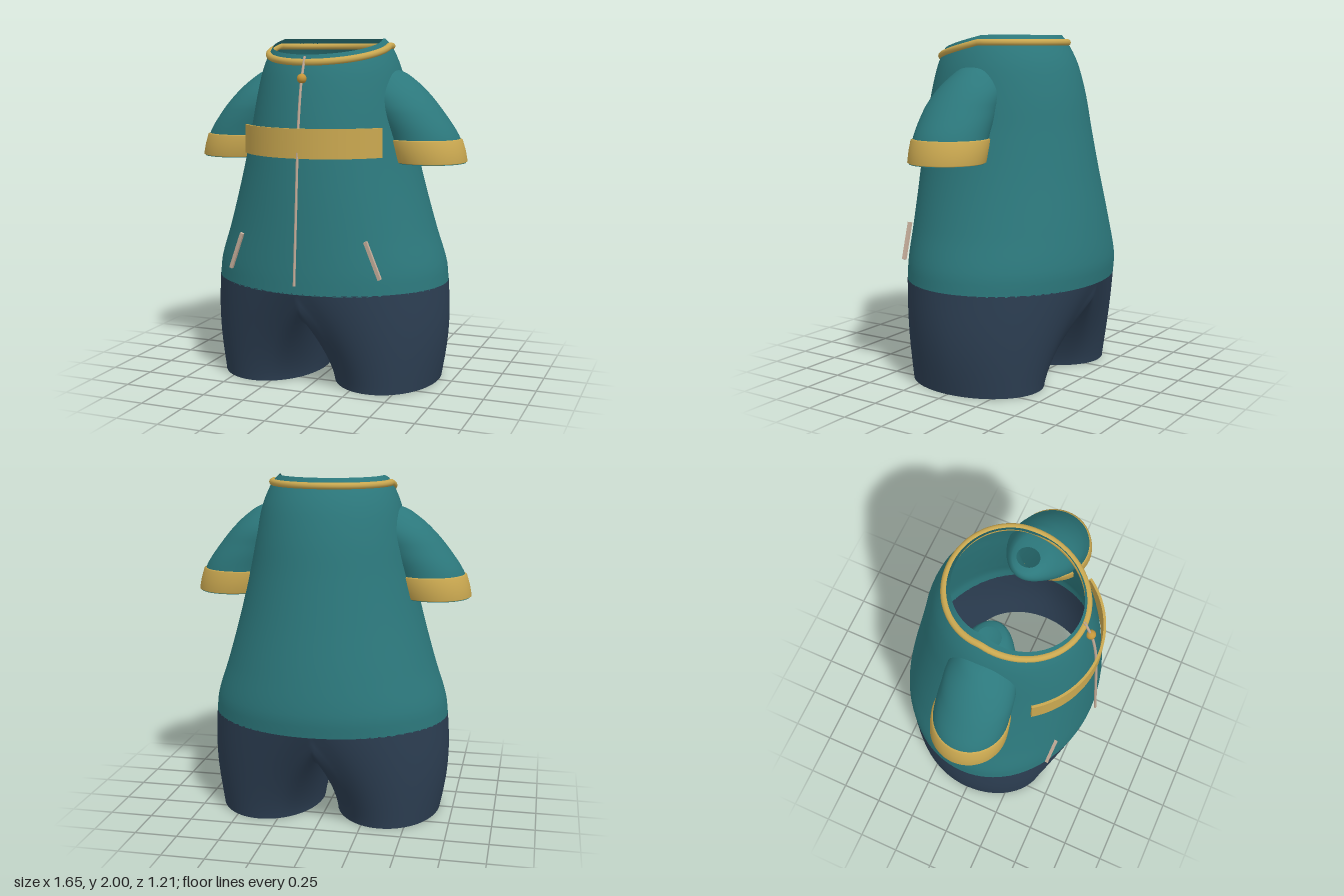
import * as THREE from 'three';
import { mergeGeometries, mergeVertices } from 'three/addons/utils/BufferGeometryUtils.js';

const mat = (name, color) => {
  const m = new THREE.MeshStandardMaterial({ color, side: THREE.DoubleSide });
  m.name = name;
  return m;
};
const lerp = THREE.MathUtils.lerp;

// Surface from point(u, v): closed around u, open along v
function loft(point, nu, nv) {
  const pos = [], idx = [];
  for (let j = 0; j <= nv; j++)
    for (let i = 0; i < nu; i++) pos.push(...point((i / nu) * Math.PI * 2, j / nv));
  for (let j = 0; j < nv; j++)
    for (let i = 0; i < nu; i++) {
      const k = (i + 1) % nu, a = j * nu + i, b = j * nu + k;
      idx.push(a, a + nu, b, b, a + nu, b + nu);
    }
  const g = new THREE.BufferGeometry();
  g.setAttribute('position', new THREE.Float32BufferAttribute(pos, 3));
  g.setIndex(idx);
  g.computeVertexNormals();
  return g;
}

// Smooth lookup through rows [key, value, value, ...]
function sample(rows, x, col) {
  let i = 0;
  while (i < rows.length - 2 && x > rows[i + 1][0]) i++;
  const n = rows.length, h = rows[i + 1][0] - rows[i][0];
  const t = THREE.MathUtils.clamp((x - rows[i][0]) / h, 0, 1);
  const slope = (k) => {
    const a = rows[Math.max(0, k - 1)], b = rows[Math.min(n - 1, k + 1)];
    return (b[col] - a[col]) / (b[0] - a[0]);
  };
  const p = rows[i][col], q = rows[i + 1][col];
  return p * (2 * t ** 3 - 3 * t * t + 1) + q * (3 * t * t - 2 * t ** 3)
    + h * (slope(i) * (t ** 3 - 2 * t * t + t) + slope(i + 1) * (t ** 3 - t * t));
}

// Jacket profile: y, half width, front depth, back depth
const BODY = [
  [0.585, 0.705, 0.575, 0.59], [0.7, 0.69, 0.573, 0.6], [0.9, 0.625, 0.563, 0.575],
  [1.2, 0.54, 0.545, 0.52], [1.45, 0.482, 0.523, 0.475], [1.65, 0.445, 0.49, 0.44],
  [1.8, 0.412, 0.455, 0.4], [1.88, 0.385, 0.425, 0.368], [1.96, 0.345, 0.38, 0.322],
  [2.0, 0.308, 0.35, 0.292],
];
const bodyPoint = (a, y) => {
  const s = Math.sin(a);
  return [Math.cos(a) * sample(BODY, y, 1), y, s * sample(BODY, y, s > 0 ? 2 : 3)];
};
const neckY = (a) => 1.96 - 0.09 * Math.max(0, Math.sin(a));

// Sleeve profile: y, inner x, outer x, half depth
const SLEEVE = [
  [1.3, 0.4, 0.815, 0.208], [1.44, 0.35, 0.778, 0.208], [1.56, 0.28, 0.7, 0.206],
  [1.68, 0.2, 0.6, 0.19], [1.77, 0.145, 0.5, 0.145], [1.82, 0.15, 0.41, 0.1],
  [1.832, 0.19, 0.31, 0.065],
];
const sleevePoint = (a, y, out = 0) => {
  const xi = sample(SLEEVE, y, 1), xo = sample(SLEEVE, y, 2), rz = sample(SLEEVE, y, 3);
  return [(xi + xo) / 2 + Math.cos(a) * ((xo - xi) / 2 + out), y,
    0.035 * Math.min(1, (1.9 - y) / 0.3) + Math.sin(a) * (rz + out)];
};

// One trouser leg: an oval cuff that blends into half the waist and the crotch seam
const SEAM_START = Math.PI * 0.625;
const seam = new THREE.CatmullRomCurve3([
  [0.59, 0.575], [0.47, 0.54], [0.385, 0.42], [0.3, 0.2], [0.245, 0],
  [0.3, -0.2], [0.385, -0.42], [0.47, -0.55], [0.59, -0.59],
].map(([y, z]) => new THREE.Vector3(0, y, z)));
function legPoint(side, u, s) {
  const a = (u > Math.PI ? u - Math.PI * 2 : u) * side, abs = Math.abs(a), sg = Math.sign(a) || 1;
  let top;
  if (abs <= SEAM_START + 1e-6) {
    const t = (a / SEAM_START) * Math.PI / 2;
    top = [0.705 * Math.cos(t), 0.59, Math.sin(t) * (t > 0 ? 0.575 : 0.59)];
  } else {
    const q = (abs - SEAM_START) / (Math.PI - SEAM_START) / 2;
    top = seam.getPoint(sg > 0 ? q : 1 - q).toArray();
  }
  const ease = s ** (1 + Math.abs(Math.sin(a)));
  const bulge = 0.027 * Math.sin(Math.PI * s) * Math.max(0, Math.cos(a));
  const x = lerp(0.36 + 0.31 * Math.cos(a), top[0], ease) + bulge;
  return [side * Math.max(0, x), s * top[1], lerp(0.41 * Math.sin(a), top[2], s ** 1.2)];
}

export function createModel() {
  const model = new THREE.Group();
  const teal = mat('teal cloth', 0x2c787c), navy = mat('navy cloth', 0x2c3e52);
  const gold = mat('gold trim', 0xcaa850), metal = mat('pale zip', 0xc4ad9a);
  const amber = mat('amber pull', 0xc4963a);
  const add = (name, geo, material, parent = model) => {
    const m = new THREE.Mesh(geo, material);
    m.name = name;
    parent.add(m);
    return m;
  };

  // Jacket shell up to the sloping neckline, then a short collar above it
  add('jacket', loft((a, v) => bodyPoint(a, lerp(0.585, neckY(a) + 0.04, v)), 72, 44), teal);

  // Collar piping
  const neck = [];
  for (let i = 0; i < 48; i++) {
    const a = (i / 48) * Math.PI * 2;
    neck.push(new THREE.Vector3(...bodyPoint(a, neckY(a) - 0.003)));
  }
  add('collarPiping', new THREE.TubeGeometry(new THREE.CatmullRomCurve3(neck, true), 96, 0.02, 10, true), gold);

  // Trousers: both legs welded along the seam
  const legs = [1, -1].map((side) => {
    const g = loft((u, v) => legPoint(side, u, v), 64, 24);
    g.deleteAttribute('normal');
    return g;
  });
  const trousers = mergeVertices(mergeGeometries(legs), 1e-4);
  trousers.computeVertexNormals();
  add('trousers', trousers, navy);

  // Sleeves with cuffs, and slanted pockets
  for (const side of [1, -1]) {
    const name = side > 0 ? 'left' : 'right';
    const sleeve = loft((a, v) => {
      const p = sleevePoint(a, lerp(1.3, 1.832, 1 - (1 - v) ** 1.5));
      return [p[0] * side, p[1], p[2]];
    }, 48, 30);
    add(name + 'Sleeve', sleeve, teal);
    const band = [[1.303, 0], [1.308, 0.01], [1.37, 0.011], [1.43, 0.01], [1.436, 0]];
    const cuff = loft((a, v) => {
      const [y, out] = band[Math.round(v * 4)];
      const p = sleevePoint(a, y, out);
      return [p[0] * side, p[1], p[2]];
    }, 48, 4);
    add(name + 'Cuff', cuff, gold);

    const from = new THREE.Vector3(side * 0.455, 0.685, 0.465);
    const to = new THREE.Vector3(side * 0.375, 0.895, 0.48);
    const dir = to.clone().sub(from);
    const pocket = add(name + 'Pocket', new THREE.BoxGeometry(0.02, dir.length(), 0.02), metal);
    pocket.position.copy(from).add(to).multiplyScalar(0.5);
    pocket.quaternion.setFromUnitVectors(new THREE.Vector3(0, 1, 0), dir.normalize());
  }

  // Curved chest band
  const shape = new THREE.Shape();
  const start = Math.PI * 0.205, end = Math.PI - start;
  shape.absellipse(0, 0, 0.525, 0.55, start, end, false);
  shape.absellipse(0, 0, 0.51, 0.535, end, start, true);
  const chest = new THREE.ExtrudeGeometry(shape, { depth: 0.165, bevelEnabled: false, curveSegments: 32 });
  chest.rotateX(Math.PI / 2);
  chest.translate(0, 1.51, 0);
  add('chestBand', chest, gold);

  // Zip line and its round pull
  const zip = new THREE.CatmullRomCurve3([
    [0.64, 0.6], [1.0, 0.572], [1.4, 0.541], [1.6, 0.517], [1.75, 0.487], [1.9, 0.435],
  ].map(([y, z]) => new THREE.Vector3(0, y, z)));
  add('zip', new THREE.TubeGeometry(zip, 32, 0.008, 6), metal);
  add('zipPull', new THREE.SphereGeometry(0.027, 20, 14), amber).position.set(0, 1.78, 0.478);

  return model;
}
